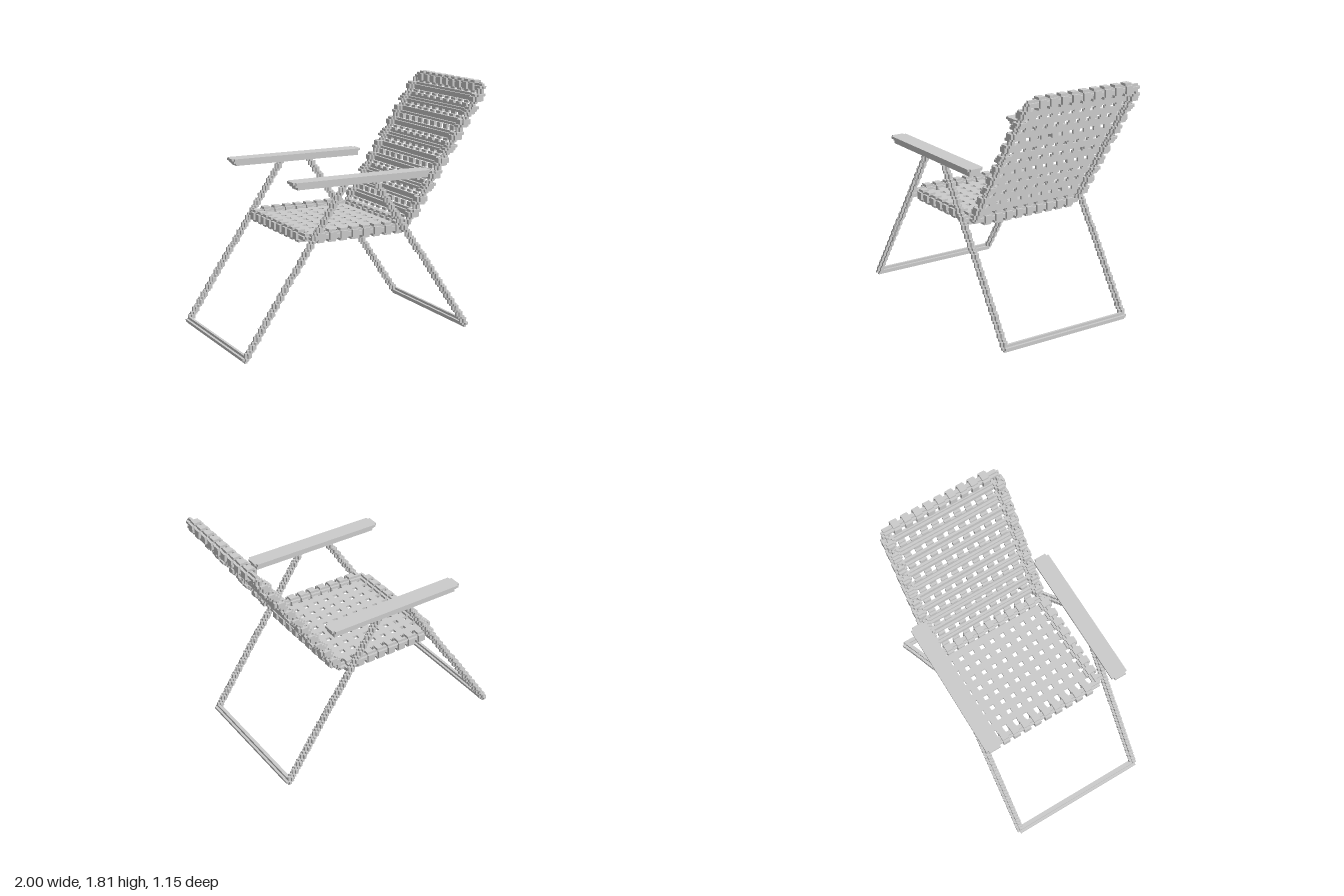
import * as THREE from 'three';

const V = 2 / 113;          // cell size
const MID = 32;             // middle cell across the width (z)
const SIDES = [-1, 1];

// Six face directions
const FACES = [[1, 0, 0], [-1, 0, 0], [0, 1, 0], [0, -1, 0], [0, 0, 1], [0, 0, -1]];

// A set of unit cells that becomes one blocky mesh (only the outer faces are kept)
class Blocks {
  constructor() { this.cells = new Map(); }
  add(x, y, z) { this.cells.set(`${x},${y},${z}`, [x, y, z]); }
  box(x0, x1, y0, y1, z0, z1) {
    for (let x = x0; x <= x1; x++)
      for (let y = y0; y <= y1; y++)
        for (let z = z0; z <= z1; z++) this.add(x, y, z);
  }
  // tube: a small plus-shaped brush dragged along a line
  tube(a, b) {
    const n = Math.max(...a.map((v, i) => Math.abs(b[i] - v)));
    for (let i = 0; i <= n; i++) {
      const p = a.map((v, k) => Math.round(v + (b[k] - v) * i / n));
      this.add(...p);
      for (const d of FACES) this.add(p[0] + d[0], p[1] + d[1], p[2] + d[2]);
    }
  }
  mesh(name, material) {
    const pos = [], nor = [], idx = [];
    for (const [x, y, z] of this.cells.values()) {
      for (const d of FACES) {
        if (this.cells.has(`${x + d[0]},${y + d[1]},${z + d[2]}`)) continue;
        const n = new THREE.Vector3(...d);
        const u = new THREE.Vector3(d[1], d[2], d[0]);
        const w = n.clone().cross(u);
        const c = new THREE.Vector3(x - 56, y + 0.5, z - MID).addScaledVector(n, 0.5);
        const base = pos.length / 3;
        for (const [s, t] of [[-1, -1], [1, -1], [1, 1], [-1, 1]]) {
          const p = c.clone().addScaledVector(u, s / 2).addScaledVector(w, t / 2).multiplyScalar(V);
          pos.push(p.x, p.y, p.z);
          nor.push(...d);
        }
        idx.push(base, base + 1, base + 2, base, base + 2, base + 3);
      }
    }
    const g = new THREE.BufferGeometry();
    g.setAttribute('position', new THREE.Float32BufferAttribute(pos, 3));
    g.setAttribute('normal', new THREE.Float32BufferAttribute(nor, 3));
    g.setIndex(idx);
    const m = new THREE.Mesh(g, material);
    m.name = name;
    return m;
  }
}

// Calls fn for each offset of the square ring a strap makes around a tube
function ring(fn) {
  for (let a = -2; a <= 2; a++)
    for (let b = -2; b <= 2; b++)
      if (Math.max(Math.abs(a), Math.abs(b)) === 2 && Math.abs(a) + Math.abs(b) < 4) fn(a, b);
}

// Key cells: seat from x 29 to 74 at y 45, back rising from there to (110, 99)
const SEAT_Y = 45, SEAT_X0 = 29, HINGE_X = 74, TOP_X = 110, TOP_Y = 99, HALF = 25;
const backX = y => Math.round(HINGE_X + (y - SEAT_Y) * (TOP_X - HINGE_X) / (TOP_Y - SEAT_Y));

export function createModel() {
  const group = new THREE.Group();
  group.name = 'foldingChair';
  const mat = new THREE.MeshStandardMaterial({ color: 0xcccccc });
  const zs = SIDES.map(s => MID + s * HALF);

  // Two U-shaped leg frames crossing under the seat, with pivot pins
  const legs = [['frontLegFrame', 1, 44, 31], ['rearLegFrame', 101, 58, 71]];
  for (const [name, footX, topX, pinX] of legs) {
    const b = new Blocks();
    for (const s of SIDES) {
      const z = MID + s * 29;
      b.tube([footX, 1, z], [topX, 65, z]);
      b.tube([pinX, SEAT_Y, z], [pinX, SEAT_Y, MID + s * HALF]);
    }
    b.tube([footX, 1, MID - 29], [footX, 1, MID + 29]);
    group.add(b.mesh(name, mat));
  }

  // Armrests: a wide top board over narrower layers
  for (const s of SIDES) {
    const b = new Blocks();
    const z0 = s < 0 ? 0 : 58;
    b.box(22, 80, 68, 68, z0, z0 + 6);
    b.box(21, 81, 68, 68, z0 + 1, z0 + 5);
    b.box(22, 80, 67, 67, z0 + 1, z0 + 5);
    b.box(23, 80, 66, 66, z0 + 1, z0 + 5);
    group.add(b.mesh(s < 0 ? 'rightArmrest' : 'leftArmrest', mat));
  }

  // Seat and back tube frames
  const seatFrame = new Blocks(), backFrame = new Blocks();
  for (const z of zs) {
    seatFrame.tube([SEAT_X0, SEAT_Y, z], [HINGE_X, SEAT_Y, z]);
    backFrame.tube([HINGE_X, SEAT_Y, z], [TOP_X, TOP_Y, z]);
  }
  for (const x of [SEAT_X0, HINGE_X]) seatFrame.tube([x, SEAT_Y, zs[0]], [x, SEAT_Y, zs[1]]);
  backFrame.tube([TOP_X, TOP_Y, zs[0]], [TOP_X, TOP_Y, zs[1]]);
  group.add(seatFrame.mesh('seatFrame', mat), backFrame.mesh('backFrame', mat));

  // Webbing: flat straps three cells wide that loop around the tubes at their ends
  const seatWeb = new Blocks(), backWeb = new Blocks();

  // Lengthwise straps of seat and back
  for (let k = -4; k <= 4; k++) {
    for (let z = MID + 5 * k - 1; z <= MID + 5 * k + 1; z++) {
      seatWeb.box(SEAT_X0 + 2, HINGE_X - 2, SEAT_Y, SEAT_Y, z, z);
      for (let y = SEAT_Y + 2; y <= TOP_Y - 2; y++) backWeb.add(backX(y), y, z);
      ring((a, b) => {
        seatWeb.add(SEAT_X0 + a, SEAT_Y + b, z);
        seatWeb.add(HINGE_X + a, SEAT_Y + b, z);
        backWeb.add(TOP_X + a, TOP_Y + b, z);
      });
    }
  }

  // Crosswise seat straps
  for (let c = 35; c <= 70; c += 5) {
    for (let x = c - 1; x <= c + 1; x++) {
      seatWeb.box(x, x, SEAT_Y, SEAT_Y, zs[0] + 2, zs[1] - 2);
      for (const z of zs) ring((a, b) => seatWeb.add(x, SEAT_Y + a, z + b));
    }
  }

  // Crosswise back straps, stepping with the slope
  for (let c = 50; c <= 95; c += 5) {
    for (let y = c - 1; y <= c + 1; y++) {
      const x = backX(y);
      backWeb.box(x, x, y, y, zs[0] + 2, zs[1] - 2);
      for (const z of zs) ring((a, b) => backWeb.add(x + a, y, z + b));
    }
  }
  group.add(seatWeb.mesh('seatWebbing', mat), backWeb.mesh('backWebbing', mat));
  return group;
}
